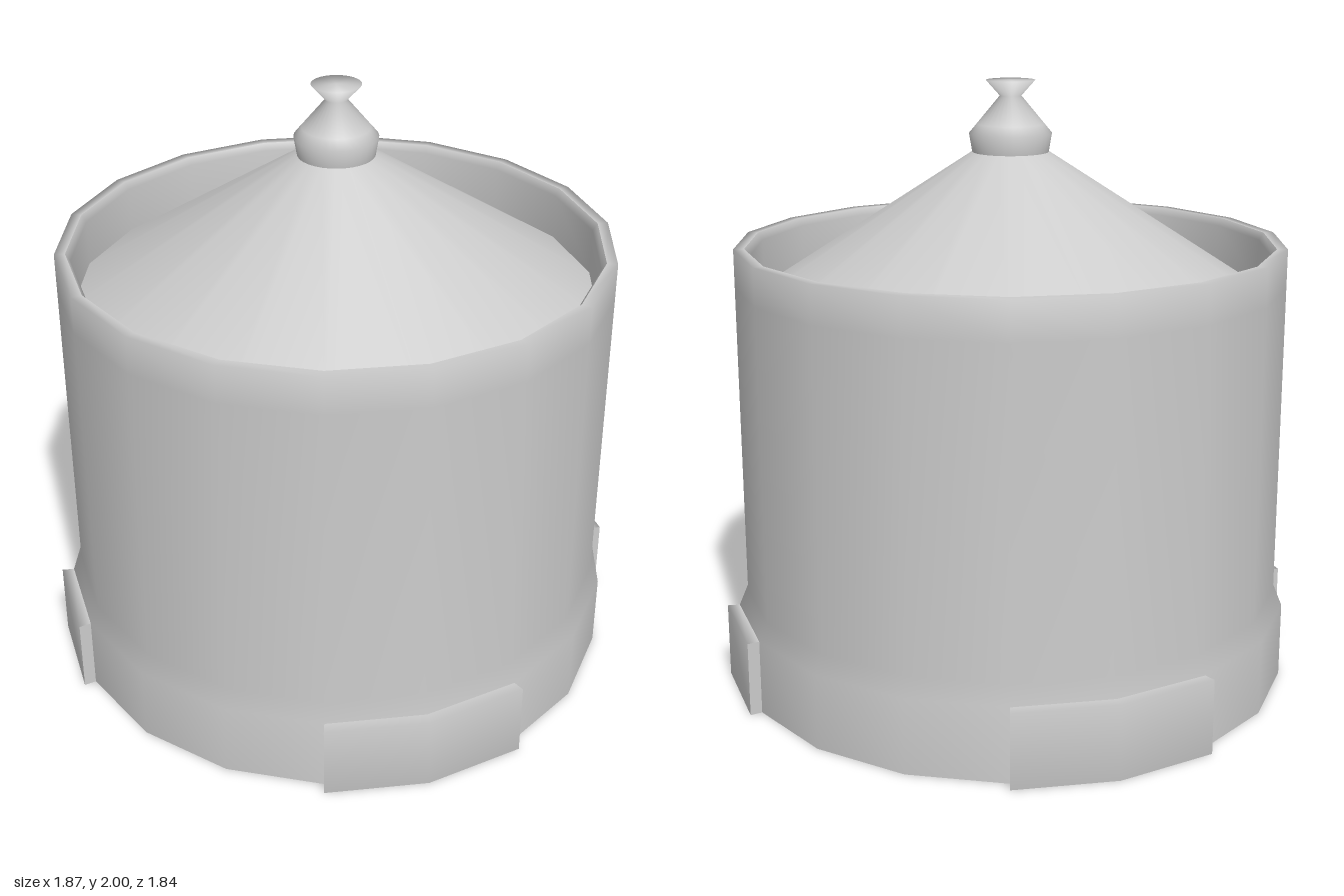
import * as THREE from 'three';

const material = new THREE.MeshStandardMaterial({ color: 0xcccccc, side: THREE.DoubleSide });
const SIDES = 18;
const BASE = 0.935;
const rad = THREE.MathUtils.degToRad;

// Surface of revolution from [radius, height] pairs; a lathe corner sits on the +x axis
function lathe(name, profile, { sides = SIDES, start = 90, sweep = 360 } = {}) {
  const points = profile.map(([r, y]) => new THREE.Vector2(r, y));
  const geometry = new THREE.LatheGeometry(points, sides, rad(start), rad(sweep));
  const mesh = new THREE.Mesh(geometry, material);
  mesh.name = name;
  return mesh;
}

// Foot pad hugging the base: facets of 20 degrees, closed by a flat plate at each end
function foot(start, facets) {
  const group = new THREE.Group();
  group.name = 'foot';
  const profile = [[BASE, 0], [0.975, 0], [0.975, 0.25], [BASE, 0.25]];
  const sweep = facets * 20;
  group.add(lathe('footPad', profile, { sides: facets, start, sweep }));
  const shape = new THREE.Shape(profile.map(([r, y]) => new THREE.Vector2(r, y)));
  for (const angle of [start, start + sweep]) {
    const end = new THREE.Mesh(new THREE.ShapeGeometry(shape), material);
    end.name = 'footEnd';
    end.rotation.y = rad(angle - 90);
    group.add(end);
  }
  return group;
}

export function createModel() {
  const model = new THREE.Group();
  model.name = 'tank';

  // Flared base, straight wall and softly shaded top rim
  model.add(lathe('shell', [
    [BASE, 0], [BASE, 0.25], [0.905, 0.31], [0.905, 1.35], [0.905, 1.475], [0.87, 1.475],
  ]));

  // Inside of the rim, down to the edge of the roof
  model.add(lathe('rimInside', [[0.87, 1.475], [0.855, 1.45], [0.855, 1.297]]));

  // Conical roof sunk below the rim
  model.add(lathe('roof', [[0.855, 1.297], [0.125, 1.77]]));

  // Finial with collar, narrow neck and flared tip
  model.add(lathe('finial', [
    [0.125, 1.77], [0.135, 1.83], [0.11, 1.86], [0.035, 1.95], [0.08, 2], [0, 2],
  ], { sides: 32 }));

  // Flat underside
  model.add(lathe('underside', [[0, 0], [BASE, 0]]));

  // Two wide and two narrow feet, repeated on opposite sides
  for (const turn of [0, 180]) {
    model.add(foot(30 + turn, 2));
    model.add(foot(-50 + turn, 1));
  }
  return model;
}
